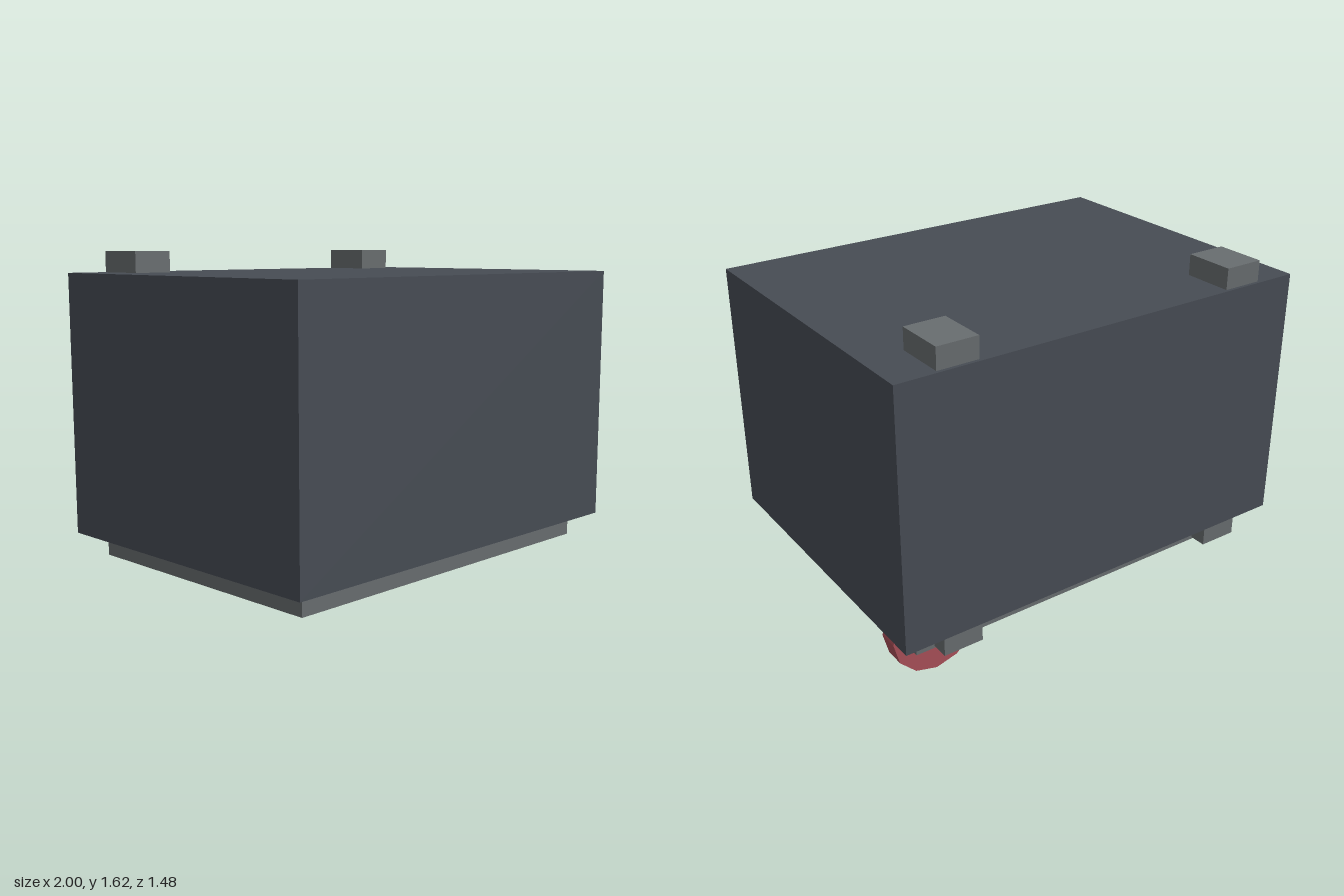
import * as THREE from 'three';

const paint = (color) => new THREE.MeshStandardMaterial({ color, flatShading: true });
const BODY = paint(0x474c54);
const GREY = paint(0x686d6f);
const DARK = paint(0x3f454c);
const GOLD = paint(0xb8954e);
const TEAL = paint(0x3c929c);
const RED = paint(0xa85058);

// Box given by its extents along each axis
function block(name, material, [x0, x1], [y0, y1], [z0, z1]) {
  const mesh = new THREE.Mesh(new THREE.BoxGeometry(x1 - x0, y1 - y0, z1 - z0), material);
  mesh.position.set((x0 + x1) / 2, (y0 + y1) / 2, (z0 + z1) / 2);
  mesh.name = name;
  return mesh;
}

export function createModel() {
  const model = new THREE.Group();
  model.name = 'casing';

  // Main housing and the base plate slung just below it
  model.add(block('housing', BODY, [-1, 1], [0.345, 1.525], [-0.74, 0.74]));
  model.add(block('basePlate', GREY, [-0.9, 0.9], [0.24, 0.335], [-0.645, 0.645]));

  // Hinge blocks at the back, above and below
  for (const side of [-1, 1]) {
    const x = [side * 0.72 - 0.093, side * 0.72 + 0.093];
    model.add(block('upperHinge', GREY, x, [1.525, 1.62], [-0.725, -0.495]));
    model.add(block('lowerHinge', GREY, x, [0.25, 0.345], [-0.725, -0.495]));
  }

  // Coloured panels on the underside
  model.add(block('goldPanel', GOLD, [-0.73, -0.04], [0.2, 0.24], [-0.245, 0.4]));
  model.add(block('tealPanel', TEAL, [0.235, 0.71], [0.2, 0.24], [-0.075, 0.305]));

  // Row of vent bars
  for (let i = 0; i < 4; i++) {
    const z = -0.402 + i * 0.23;
    model.add(block('ventBar', DARK, [0.16, 0.67], [0.21, 0.24], [z - 0.0225, z + 0.0225]));
  }

  // Twelve-sided dial set into the base
  const dial = new THREE.Mesh(new THREE.CylinderGeometry(0.208, 0.208, 0.093, 12), RED);
  dial.rotation.x = Math.PI / 2;
  dial.position.set(0.72, 0.208, -0.455);
  dial.name = 'dial';
  model.add(dial);

  return model;
}
